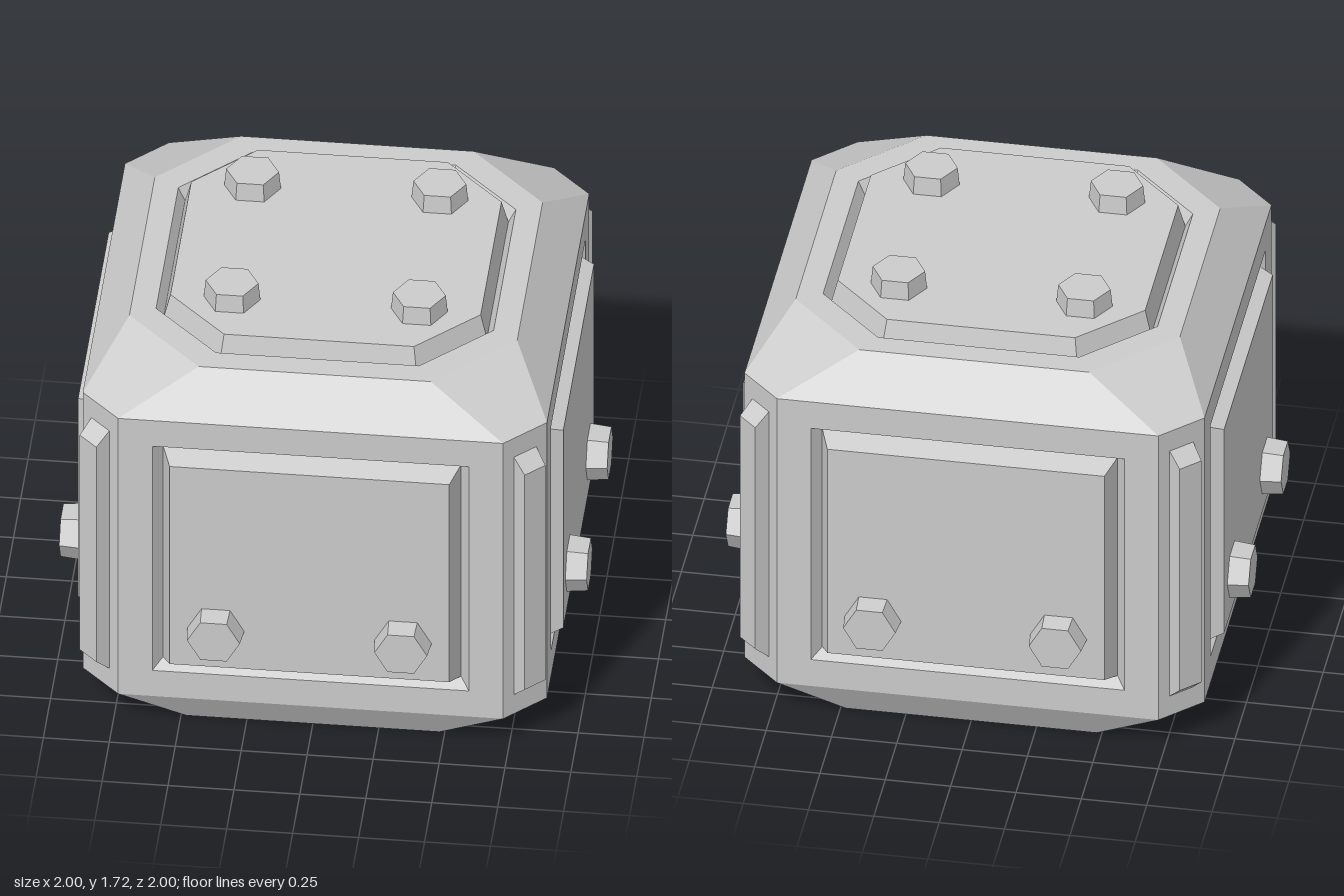
import * as THREE from 'three';

const material = new THREE.MeshStandardMaterial({ color: 0xcccccc, flatShading: true });

// Joins counter-clockwise rings stacked along +z; the last ring may be capped.
function loft(rings, cap = true) {
  const pos = [];
  const tri = (a, b, c) => pos.push(...a, ...b, ...c);
  for (let k = 0; k < rings.length - 1; k++) {
    const lo = rings[k], hi = rings[k + 1], n = lo.length;
    for (let i = 0; i < n; i++) {
      const j = (i + 1) % n;
      tri(lo[i], lo[j], hi[j]);
      tri(lo[i], hi[j], hi[i]);
    }
  }
  if (cap) {
    const last = rings[rings.length - 1];
    for (let i = 1; i < last.length - 1; i++) tri(last[0], last[i], last[i + 1]);
  }
  const g = new THREE.BufferGeometry();
  g.setAttribute('position', new THREE.Float32BufferAttribute(pos, 3));
  g.computeVertexNormals();
  return g;
}

// Octagon with half width w and half flat f
const octagon = (w, f, z) => [
  [w, -f, z], [w, f, z], [f, w, z], [-f, w, z],
  [-w, f, z], [-w, -f, z], [-f, -w, z], [f, -w, z],
];
const rect = (w, y0, y1, z) => [[-w, y0, z], [w, y0, z], [w, y1, z], [-w, y1, z]];

function add(parent, name, geometry) {
  const mesh = new THREE.Mesh(geometry, material);
  mesh.name = name;
  parent.add(mesh);
  return mesh;
}

// Tapered hexagonal bolt head standing on y = 0, corners along x
const boltGeometry = new THREE.CylinderGeometry(0.1, 0.11, 0.1, 6)
  .rotateY(Math.PI / 2).translate(0, 0.05, 0);

export function createModel() {
  const model = new THREE.Group();
  model.name = 'armouredCrate';

  // Chamfered lid with grooved octagonal panel
  const lid = new THREE.Group();
  lid.name = 'lid';
  model.add(lid);
  add(lid, 'lidPanel', loft([
    octagon(0.88, 0.73, 1.43),
    octagon(0.735, 0.44, 1.59),
    octagon(0.64, 0.385, 1.59),
    octagon(0.613, 0.372, 1.54),
    octagon(0.588, 0.36, 1.64),
  ]).rotateX(-Math.PI / 2));
  for (const x of [-0.355, 0.355]) {
    for (const z of [-0.355, 0.355]) {
      add(lid, 'lidBolt', boltGeometry).position.set(x, 1.615, z);
    }
  }

  // Chamfered base
  add(model, 'base', loft([
    octagon(0.88, 0.73, -0.14),
    octagon(0.8, 0.48, 0),
  ]).rotateX(Math.PI / 2));

  // Side wall with V groove and raised panel
  const wallGeometry = loft([
    rect(0.73, 0.14, 1.43, 0.88),
    rect(0.6, 0.26, 1.31, 0.88),
    rect(0.565, 0.29, 1.28, 0.83),
    rect(0.53, 0.325, 1.25, 0.92),
  ]);
  // Corner chamfer strip and the bevelled bar on it
  const d = (0.88 + 0.73) / Math.SQRT2;
  const c = (0.88 - 0.73) / Math.SQRT2;
  const cornerGeometry = loft([rect(c, 0.14, 1.43, d)]);
  const barGeometry = loft([
    rect(0.055, 0.22, 1.35, d - 0.01),
    rect(0.05, 0.285, 1.29, d + 0.06),
  ]);

  for (let i = 0; i < 4; i++) {
    const side = new THREE.Group();
    side.name = ['front', 'left', 'back', 'right'][i] + 'Side';
    side.rotation.y = i * Math.PI / 2;
    add(side, 'sidePanel', wallGeometry);
    for (const x of [-0.355, 0.355]) {
      const bolt = add(side, 'sideBolt', boltGeometry);
      bolt.position.set(x, 0.5, 0.9);
      bolt.rotation.x = Math.PI / 2;
    }
    const corner = new THREE.Group();
    corner.name = 'corner';
    corner.rotation.y = Math.PI / 4;
    add(corner, 'cornerChamfer', cornerGeometry);
    add(corner, 'cornerBar', barGeometry);
    side.add(corner);
    model.add(side);
  }
  return model;
}
